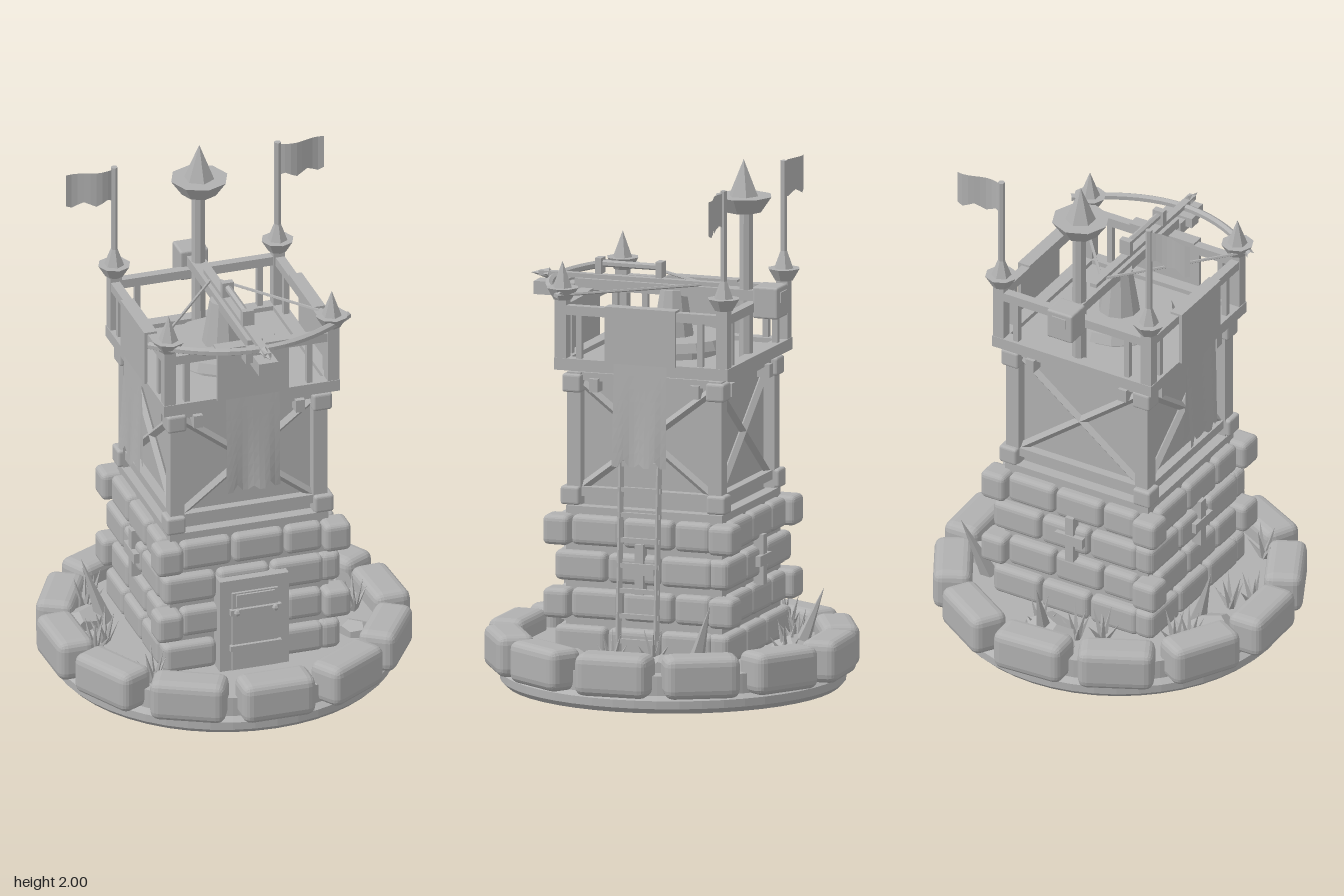
import * as THREE from 'three';
import { RoundedBoxGeometry } from 'three/addons/geometries/RoundedBoxGeometry.js';

const grey = new THREE.MeshStandardMaterial({ color: 0xb0b0b0, flatShading: true });
grey.name = 'stone grey';
const cloth = grey.clone();
cloth.name = 'cloth grey';
cloth.side = THREE.DoubleSide;

export function createModel() {
  const model = new THREE.Group();
  model.name = 'watchtower';

  const add = (parent, name, geo, x = 0, y = 0, z = 0, mat = grey) => {
    const m = new THREE.Mesh(geo, mat);
    m.name = name;
    m.position.set(x, y, z);
    parent.add(m);
    return m;
  };
  const box = (p, name, w, h, d, x, y, z) => add(p, name, new THREE.BoxGeometry(w, h, d), x, y, z);
  const stone = (p, name, w, h, d, x, y, z, r = 0.022) =>
    add(p, name, new RoundedBoxGeometry(w, h, d, 2, r), x, y, z);
  // A straight bar or spike between two points
  const bar = (p, name, a, b, r0, r1 = r0, sides = 6) => {
    const from = new THREE.Vector3(...a), to = new THREE.Vector3(...b);
    const dir = to.clone().sub(from);
    const m = add(p, name, new THREE.CylinderGeometry(r1, r0, dir.length(), sides));
    m.position.copy(from).add(to).multiplyScalar(0.5);
    m.quaternion.setFromUnitVectors(new THREE.Vector3(0, 1, 0), dir.normalize());
    return m;
  };
  const group = (name, parent = model) => {
    const g = new THREE.Group();
    g.name = name;
    parent.add(g);
    return g;
  };
  // One group per tower side: 0 front, 1 left (+x), 2 back, 3 right (-x)
  const sides = ['front', 'left', 'back', 'right'].map((n, i) => {
    const g = group(n + 'Side');
    g.rotation.y = i * Math.PI / 2;
    return g;
  });
  const corners = [[-1, -1], [1, -1], [-1, 1], [1, 1]];

  // Round base and ring of boulders
  add(model, 'base', new THREE.LatheGeometry([[0, 0], [0.625, 0], [0.645, 0.02], [0.645, 0.05],
    [0.62, 0.065], [0.62, 0.14], [0, 0.14]].map(([x, y]) => new THREE.Vector2(x, y)), 48));
  for (let i = 0; i < 12; i++) {
    const a = i * Math.PI / 6;
    const s = stone(model, 'ringStone', 0.285, 0.16, 0.145, Math.sin(a) * 0.618, 0.14, Math.cos(a) * 0.618, 0.035);
    s.rotation.y = a + 0.06 * Math.sin(i * 2.4);
  }

  // Masonry: core, courses of stones and larger corner stones
  box(model, 'masonryCore', 0.62, 0.56, 0.62, 0, 0.4, 0);
  box(model, 'masonryCap', 0.62, 0.03, 0.62, 0, 0.69, 0);
  [0.2, 0.343, 0.483, 0.62].forEach((y, row) => {
    const wide = row % 2 === 1;
    sides.forEach(s => {
      const cuts = wide ? [-0.28, -0.075, 0.13, 0.28] : [-0.345, -0.135, 0.075, 0.285];
      for (let i = 0; i < 3; i++) {
        const w = cuts[i + 1] - cuts[i];
        stone(s, 'wallStone', w - 0.006, 0.113, 0.09, (cuts[i] + cuts[i + 1]) / 2, y, 0.305);
      }
    });
    corners.forEach(([sx, sz]) => wide
      ? stone(model, 'cornerStone', 0.105, 0.113, 0.105, sx * 0.328, y, sz * 0.328)
      : stone(model, 'cornerStone', 0.075, 0.113, 0.075, sx * 0.308, y, sz * 0.308));
  });

  // Cross-shaped arrow slits
  sides.slice(1).forEach(s => {
    box(s, 'slitUpright', 0.035, 0.19, 0.04, 0, 0.49, 0.345);
    box(s, 'slitCrossbar', 0.12, 0.04, 0.045, 0, 0.49, 0.347);
  });

  // Door
  const door = group('door');
  box(door, 'doorFrame', 0.27, 0.38, 0.07, -0.005, 0.325, 0.35);
  box(door, 'doorLeaf', 0.18, 0.32, 0.02, -0.005, 0.305, 0.386);
  [0.24, 0.39].forEach(y => box(door, 'doorHinge', 0.2, 0.022, 0.018, -0.005, y, 0.4));
  box(door, 'doorHatch', 0.15, 0.05, 0.014, -0.005, 0.435, 0.398);
  [-0.08, 0.07].forEach(x => add(door, 'doorStud', new THREE.SphereGeometry(0.014, 6, 4), x, 0.39, 0.408));

  // Timber storey
  box(model, 'timberWalls', 0.53, 0.52, 0.53, 0, 0.96, 0);
  corners.forEach(([sx, sz]) => {
    box(model, 'cornerPost', 0.055, 0.5, 0.055, sx * 0.28, 0.96, sz * 0.28);
    stone(model, 'postFoot', 0.075, 0.07, 0.075, sx * 0.29, 0.745, sz * 0.29, 0.01);
    stone(model, 'postHead', 0.075, 0.07, 0.075, sx * 0.285, 1.17, sz * 0.285, 0.01);
  });
  sides.forEach(s => {
    box(s, 'lowerBeam', 0.54, 0.035, 0.05, 0, 0.76, 0.275);
    box(s, 'upperBeam', 0.54, 0.03, 0.04, 0, 1.195, 0.275);
    [-1, 1].forEach(k => bar(s, 'crossBrace', [-0.26 * k, 0.77, 0.275], [0.26 * k, 1.17, 0.275], 0.017, 0.017, 4));
    [-1, 1].forEach(k => box(s, 'bracket', 0.035, 0.05, 0.06, 0.2 * k, 1.165, 0.285));
  });

  // Fighting platform and railings
  box(model, 'platformFloor', 0.64, 0.03, 0.64, 0, 1.235, 0);
  sides.forEach(s => {
    box(s, 'platformEdge', 0.69, 0.045, 0.05, 0, 1.245, 0.32);
    box(s, 'topRail', 0.66, 0.035, 0.035, 0, 1.45, 0.323);
    [-0.25, 0.23].forEach(x => box(s, 'railPost', 0.022, 0.18, 0.022, x, 1.35, 0.322));
  });
  corners.forEach(([sx, sz]) => {
    const x = sx * 0.32, z = sz * 0.32;
    box(model, 'railCornerPost', 0.045, 0.26, 0.045, x, 1.38, z);
    add(model, 'finialCup', new THREE.CylinderGeometry(0.062, 0.035, 0.045, 8), x, 1.51, z);
    add(model, 'finialSpike', new THREE.ConeGeometry(0.038, 0.1, 6), x, 1.582, z);
  });

  // Ragged cloth, bulging outward by a rule
  const ragged = (w, top, bottom, bulge) => {
    const g = new THREE.PlaneGeometry(w, 1, 10, 8), p = g.attributes.position;
    for (let i = 0; i < p.count; i++) {
      const u = p.getX(i) / w, t = 0.5 - p.getY(i);
      const rag = 0.018 * Math.cos(u * 21) + (Math.abs(u) < 0.06 ? -0.012 : 0);
      p.setY(i, top + (bottom + (bulge ? rag : 0) - top) * t);
      p.setZ(i, bulge * (0.7 * t + 0.35 * t * t * Math.sin(u * 9)));
    }
    return g;
  };
  [0, 1, 3].forEach(i => {
    const s = sides[i];
    box(s, 'bannerFold', 0.28, 0.205, 0.012, 0, 1.365, 0.349);
    box(s, 'bannerDrape', 0.28, 0.01, 0.05, 0, 1.471, 0.33);
    add(s, 'bannerTail', ragged(0.21, 1.27, 0.885, 0.022), 0, 0, 0.352, cloth);
    add(s, 'bannerLining', ragged(0.2, 1.2, 0.9, -0.012), 0, 0, 0.351, cloth);
  });

  // Ladder on the left side
  const ladder = group('ladder', sides[1]);
  [-0.075, 0.075].forEach(x => bar(ladder, 'ladderRail', [x, 0.14, 0.385], [x, 1.24, 0.335], 0.012, 0.012, 4));
  for (let i = 0; i < 11; i++) {
    const y = 0.22 + i * 0.095, z = 0.385 - (y - 0.14) * 0.045;
    box(ladder, 'ladderRung', 0.17, 0.018, 0.015, 0, y, z);
  }

  // Flags at the back corners
  [-1, 1].forEach(k => {
    bar(model, 'flagPole', [k * 0.32, 1.52, -0.32], [k * 0.32, 1.94, -0.32], 0.013);
    const g = new THREE.PlaneGeometry(0.18, 0.13, 8, 3), p = g.attributes.position;
    for (let i = 0; i < p.count; i++) {
      const d = p.getX(i) * k + 0.09;
      if (p.getY(i) < -0.06) p.setY(i, p.getY(i) + 0.01 * Math.sin(d * 70));
      p.setZ(i, 0.012 * Math.sin(d * 30));
    }
    add(model, 'flag', g, k * 0.415, 1.865, -0.32, cloth);
  });

  // Beacon mast
  bar(model, 'mast', [0, 1.24, -0.29], [0, 1.82, -0.29], 0.028, 0.026, 8);
  add(model, 'beaconBowl', new THREE.CylinderGeometry(0.11, 0.068, 0.06, 8), 0, 1.832, -0.28);
  add(model, 'beaconSpike', new THREE.ConeGeometry(0.058, 0.14, 6), 0, 1.93, -0.28);

  // Mounted crossbow
  const bow = group('crossbow');
  add(bow, 'turntable', new THREE.CylinderGeometry(0.2, 0.215, 0.035, 16), 0, 1.3, 0);
  add(bow, 'turntableFoot', new THREE.CylinderGeometry(0.17, 0.17, 0.04, 16), 0, 1.265, 0);
  add(bow, 'pivot', new THREE.CylinderGeometry(0.05, 0.08, 0.18, 10), 0, 1.4, 0);
  box(bow, 'stock', 0.06, 0.04, 0.82, 0, 1.49, -0.03);
  box(bow, 'boltGroove', 0.028, 0.018, 0.72, 0, 1.517, 0.17);
  box(bow, 'stockNose', 0.075, 0.05, 0.16, 0, 1.465, 0.46);
  box(bow, 'noseBand', 0.13, 0.04, 0.05, 0, 1.48, 0.44);
  stone(bow, 'counterweight', 0.11, 0.12, 0.1, 0, 1.47, -0.385, 0.008);
  bar(bow, 'boltHead', [0, 1.515, 0.49], [0, 1.515, 0.565], 0.022, 0, 4);
  bar(bow, 'sightRod', [0, 1.568, 0.04], [0, 1.568, 0.3], 0.013);
  [0.05, 0.29].forEach(z => box(bow, 'sightBlock', 0.045, 0.06, 0.025, 0, 1.56, z));
  const curve = new THREE.QuadraticBezierCurve3(new THREE.Vector3(-0.39, 1.51, 0.3),
    new THREE.Vector3(0, 1.51, 0.62), new THREE.Vector3(0.39, 1.51, 0.3));
  add(bow, 'bowLimbs', new THREE.TubeGeometry(curve, 20, 0.015, 6));
  [-1, 1].forEach(k => bar(bow, 'bowString', [k * 0.37, 1.51, 0.32], [0, 1.515, -0.13], 0.006, 0.006, 5));

  // Rocks, thorns and grass tufts on the ground
  [[-0.49, -0.15, 0.09], [0.47, -0.16, 0.09], [0, -0.5, 0.12], [0.44, 0.24, 0.07]].forEach(([x, z, r]) => {
    const rock = add(model, 'rock', new THREE.DodecahedronGeometry(r), x, 0.15, z);
    rock.scale.set(1.1, 0.6, 0.8);
    rock.rotation.y = x * 5 + z;
  });
  [[[-0.42, 0.14, -0.14], [-0.5, 0.4, -0.17]], [[0.42, 0.14, -0.24], [0.49, 0.4, -0.33]],
    [[0.02, 0.14, -0.5], [0, 0.4, -0.6]]].forEach(([a, b]) => bar(model, 'thorn', a, b, 0.036, 0, 5));
  [[-0.42, -0.3], [-0.46, -0.26], [-0.18, -0.42], [-0.09, -0.46], [0.06, -0.47], [-0.47, 0.02], [-0.53, 0.08],
    [0.49, 0.06], [0.4, -0.07], [-0.4, 0.38]].forEach(([x, z], n) => {
    const tuft = group('grassTuft');
    for (let i = 0; i < 6; i++) {
      const a = i * 1.047 + n, r = i % 2 ? 0.065 : 0.04;
      bar(tuft, 'grassBlade', [x, 0.13, z],
        [x + Math.cos(a) * r, i % 2 ? 0.22 : 0.275, z + Math.sin(a) * r], 0.016, 0, 4);
    }
  });
  return model;
}
